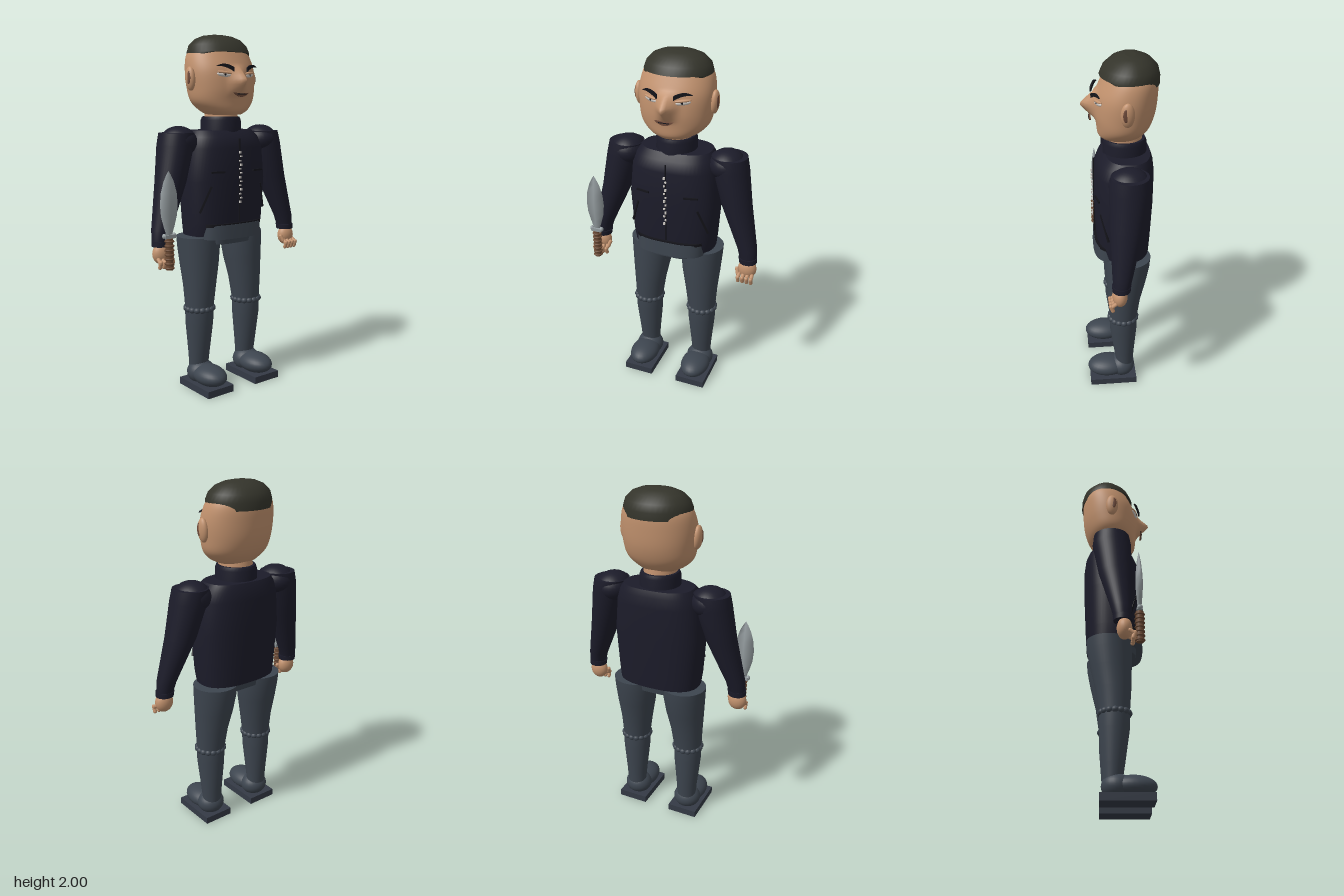
import * as THREE from 'three';

const mat = (name, color) => Object.assign(new THREE.MeshStandardMaterial({ color }), { name });

// Closed loft through sections [y, centreX, radiusX, zFront, zBack], listed bottom to top.
function loft(sections, { pow = 1, seg = 40, warp = null } = {}) {
  const pos = [], idx = [];
  const ring = ([y, cx, rx, zf, zb]) => {
    const start = pos.length / 3;
    for (let j = 0; j < seg; j++) {
      const t = (j / seg) * Math.PI * 2, c = Math.cos(t), s = Math.sin(t);
      const x = cx + rx * Math.sign(c) * Math.abs(c) ** pow;
      let z = (zf + zb) / 2 + ((zf - zb) / 2) * Math.sign(s) * Math.abs(s) ** pow;
      if (warp && s > 0) z += warp(x, y);
      pos.push(x, y, z);
    }
    return start;
  };
  const rings = sections.map(ring);
  for (let i = 0; i + 1 < rings.length; i++) {
    for (let j = 0; j < seg; j++) {
      const k = (j + 1) % seg, a = rings[i], b = rings[i + 1];
      idx.push(a + j, b + j, a + k, a + k, b + j, b + k);
    }
  }
  [sections[0], sections[sections.length - 1]].forEach((sec, top) => {
    const r = ring(sec), c = pos.length / 3;
    pos.push(sec[1], sec[0], (sec[3] + sec[4]) / 2);
    for (let j = 0; j < seg; j++) {
      const k = (j + 1) % seg;
      if (top) idx.push(c, r + k, r + j);
      else idx.push(c, r + j, r + k);
    }
  });
  const g = new THREE.BufferGeometry();
  g.setAttribute('position', new THREE.Float32BufferAttribute(pos, 3));
  g.setIndex(idx);
  g.computeVertexNormals();
  return g;
}

export function createModel() {
  const model = new THREE.Group();
  model.name = 'figure';
  const skin = mat('skin', 0xc2926e), navy = mat('navy cloth', 0x1c1c2a), slate = mat('slate cloth', 0x3d454f);
  const sole = mat('sole grey', 0x343a45), hair = mat('hair', 0x34342b), black = mat('black', 0x14141a);
  const steel = mat('steel', 0x959da0), brown = mat('grip brown', 0x6b4a34), pale = mat('eye white', 0xcfcac4);
  const lip = mat('lip', 0x6e4a3a);

  const add = (name, geo, material, p = [0, 0, 0], r = [0, 0, 0], s = [1, 1, 1]) => {
    const m = new THREE.Mesh(geo, material);
    m.name = name;
    m.position.set(...p);
    m.rotation.set(...r);
    m.scale.set(...s);
    model.add(m);
    return m;
  };
  const unit = new THREE.SphereGeometry(1, 28, 18);
  const ball = (name, material, p, s, r) => add(name, unit, material, p, r, s);
  const box = (name, material, p, s, r) => add(name, new THREE.BoxGeometry(...s), material, p, r);
  const side = (rows, s) => rows.map(([y, cx, ...rest]) => [y, cx * s, ...rest]);

  // Head, with a pointed nose pulled out of the face
  const noseAt = (y) => (y > 1.745 ? Math.max(0, (1.83 - y) / 0.085) : Math.max(0, (y - 1.66) / 0.085));
  const nose = (x, y) => 0.08 * noseAt(y) * Math.max(0, 1 - Math.abs(x) / 0.075) ** 1.4;
  const profile = new THREE.SplineCurve([
    [0.09, 1.56], [0.14, 1.585], [0.187, 1.635], [0.203, 1.71], [0.208, 1.8], [0.194, 1.88], [0.16, 1.94],
  ].map((p) => new THREE.Vector2(...p)));
  const depth = new THREE.SplineCurve([
    [0.095, -0.1], [0.115, -0.13], [0.122, -0.165], [0.13, -0.19], [0.122, -0.2], [0.09, -0.2], [0.06, -0.18],
  ].map((p) => new THREE.Vector2(...p)));
  const headRows = [];
  for (let i = 0; i <= 36; i++) {
    const a = profile.getPoint(i / 36), b = depth.getPoint(i / 36);
    headRows.push([a.y, 0, a.x, b.x, b.y]);
  }
  add('head', loft(headRows, { seg: 80, warp: nose, pow: 0.95 }), skin);
  add('neck', loft([[1.5, 0, 0.095, 0.075, -0.13], [1.6, 0, 0.09, 0.07, -0.12]]), skin);

  // Cropped hair, its hairline rising toward the forehead
  const cap = loft([
    [1.86, 0, 0.187, 0.1, -0.21], [1.9, 0, 0.188, 0.103, -0.21], [1.94, 0, 0.175, 0.085, -0.2],
    [1.975, 0, 0.14, 0.045, -0.165], [1.993, 0, 0.095, 0.005, -0.125], [2, 0, 0.045, -0.03, -0.085],
  ]);
  const cp = cap.attributes.position;
  for (let i = 0; i < cp.count; i++) {
    if (cp.getY(i) < 1.87) cp.setY(i, 1.86 + 0.045 * THREE.MathUtils.clamp((cp.getZ(i) + 0.06) / 0.14, 0, 1));
  }
  cap.computeVertexNormals();
  add('hair', cap, hair);

  // Face details
  const browShape = new THREE.Shape();
  browShape.moveTo(-0.05, -0.014);
  browShape.quadraticCurveTo(0, 0.012, 0.052, 0.002);
  browShape.quadraticCurveTo(0.01, 0.034, -0.048, 0.008);
  const browGeo = new THREE.ExtrudeGeometry(browShape, { depth: 0.009, bevelEnabled: false });
  for (const s of [-1, 1]) {
    const brow = add('eyebrow', browGeo.clone(), black, [0.09 * s, 1.812, 0.125], [0, 0.36 * s, 0.12 * s]);
    if (s < 0) {
      // mirrored by turning the plate round
      brow.rotation.set(0, Math.PI - 0.36, 0.12);
      brow.position.z += 0.008;
    }
    ball('eye', pale, [0.088 * s, 1.776, 0.115], [0.04, 0.012, 0.009], [0, 0.38 * s, 0.1 * s]);
    ball('upperEyelid', skin, [0.088 * s, 1.787, 0.116], [0.044, 0.008, 0.011], [0, 0.38 * s, 0.1 * s]);
    ball('iris', black, [0.086 * s, 1.777, 0.122], [0.009, 0.008, 0.004], [0, 0.38 * s, 0]);
    ball('ear', skin, [0.212 * s, 1.755, -0.025], [0.024, 0.065, 0.036], [0, 0, -0.06 * s]);
    ball('earHollow', lip, [0.231 * s, 1.76, -0.015], [0.005, 0.035, 0.015]);
  }
  const mouth = new THREE.Shape();
  mouth.moveTo(-0.052, 0.01);
  mouth.quadraticCurveTo(-0.02, 0.008, 0, 0.004);
  mouth.quadraticCurveTo(0.02, 0.008, 0.052, 0.01);
  mouth.quadraticCurveTo(0, -0.036, -0.052, 0.01);
  add('mouth', new THREE.ExtrudeGeometry(mouth, { depth: 0.009, bevelEnabled: false, curveSegments: 8 }), lip, [0, 1.67, 0.15]);
  box('mouthLine', black, [0, 1.672, 0.16], [0.06, 0.004, 0.004]);

  // Jacket
  add('jacket', loft([
    [0.89, 0, 0.238, 0.12, -0.165], [0.96, 0, 0.246, 0.133, -0.17], [1.2, 0, 0.262, 0.142, -0.182],
    [1.38, 0, 0.245, 0.138, -0.185], [1.44, 0, 0.225, 0.115, -0.178], [1.475, 0, 0.2, 0.08, -0.165],
  ], { pow: 0.78, seg: 56 }), navy);
  add('collar', loft([
    [1.45, 0, 0.115, 0.09, -0.15], [1.53, 0, 0.112, 0.088, -0.148], [1.55, 0, 0.104, 0.08, -0.14],
  ]), navy);
  box('frontSeam', black, [0, 1.2, 0.141], [0.006, 0.46, 0.008]);
  for (let i = 0; i < 13; i++) {
    box('zipTooth', pale, [i % 2 ? 0.004 : -0.004, 1.08 + i * 0.023, 0.152], [0.01, i % 3 ? 0.008 : 0.014, 0.009]);
  }
  for (const s of [-1, 1]) {
    box('chestPocket', black, [0.14 * s, 1.25, 0.13], [0.08, 0.01, 0.009], [0, 0.22 * s, 0]);
    box('sidePocket', black, [0.2 * s, 1.1, 0.096], [0.012, 0.16, 0.009], [0, 0.6 * s, 0.42 * s]);
  }

  // Belt and pelvis
  add('beltLine', loft([[0.945, 0, 0.21, 0.146, -0.12], [0.962, 0, 0.21, 0.146, -0.12]], { pow: 0.65 }), black);
  add('belt', loft([[0.875, 0, 0.205, 0.152, -0.12], [0.955, 0, 0.205, 0.148, -0.12]], { pow: 0.65 }), slate);
  add('pelvis', loft([[0.84, 0, 0.13, 0.11, -0.13], [0.9, 0, 0.14, 0.12, -0.14]], { pow: 0.5 }), slate);

  const capsule = new THREE.CapsuleGeometry(0.011, 0.03, 4, 10);
  for (const s of [-1, 1]) {
    // Arm
    ball('shoulder', navy, [0.292 * s, 1.415, -0.028], [0.1, 0.086, 0.108]);
    add('sleeve', loft(side([
      [0.885, 0.452, 0.047, 0.07, -0.02], [0.95, 0.441, 0.055, 0.075, -0.035], [1.2, 0.36, 0.085, 0.08, -0.1],
      [1.4, 0.314, 0.1, 0.08, -0.135], [1.465, 0.303, 0.098, 0.07, -0.13],
    ], s)), navy);
    add('cuff', loft(side([[0.865, 0.452, 0.05, 0.076, -0.022], [0.895, 0.449, 0.052, 0.078, -0.025]], s)), navy, [0, 0, 0]);

    // Hand
    ball('palm', skin, [0.452 * s, 0.825, 0.035], [0.053, 0.058, 0.04]);
    for (let i = 0; i < 4; i++) {
      const x = (0.413 + i * 0.025) * s;
      add('finger', capsule, skin, [x, 0.79, 0.074], [-0.9, 0, 0]);
      add('fingertip', capsule, skin, [x, 0.773, 0.082], [0.35, 0, 0]);
    }
    add('thumb', capsule, skin, [0.402 * s, 0.81, 0.06], [-0.4, 0, 0.3 * s]);

    // Leg
    add('thigh', loft(side([
      [0.45, 0.172, 0.08, 0.07, -0.088], [0.6, 0.165, 0.095, 0.08, -0.11], [0.72, 0.158, 0.112, 0.084, -0.14],
      [0.82, 0.155, 0.122, 0.086, -0.16], [0.88, 0.155, 0.126, 0.084, -0.165],
    ], s)), slate);
    add('shin', loft(side([
      [0.1, 0.172, 0.056, 0.03, -0.068], [0.2, 0.172, 0.063, 0.045, -0.075],
      [0.38, 0.172, 0.08, 0.07, -0.09], [0.47, 0.172, 0.083, 0.072, -0.09],
    ], s)), slate);
    for (let i = 0; i < 16; i++) {
      const t = (i / 16) * Math.PI * 2;
      ball('kneeBand', slate, [0.172 * s + 0.074 * Math.cos(t), 0.465, -0.008 + 0.073 * Math.sin(t)], [0.02, 0.018, 0.02]);
    }

    // Shoe
    ball('shoeToe', slate, [0.17 * s, 0.085, 0.085], [0.086, 0.058, 0.122]);
    ball('shoeHeel', slate, [0.17 * s, 0.085, 0.0], [0.082, 0.068, 0.078]);
    box('sole', sole, [0.17 * s, 0.02, 0.055], [0.178, 0.04, 0.28]);
  }

  // Dagger in the right hand
  const dx = -0.452, dz = 0.113;
  add('grip', new THREE.CylinderGeometry(0.021, 0.02, 0.17, 16), brown, [dx, 0.835, dz]);
  for (let i = 0; i < 7; i++) {
    add('gripRing', new THREE.TorusGeometry(0.021, 0.006, 8, 18), brown, [dx, 0.76 + i * 0.024, dz], [Math.PI / 2, 0, 0]);
  }
  box('guard', steel, [dx, 0.93, dz], [0.062, 0.02, 0.03]);
  for (const s of [-1, 1]) ball('guardEnd', steel, [dx + 0.03 * s, 0.933, dz], [0.012, 0.014, 0.014]);
  const blade = loft([
    [0.935, 0, 0.018, 0.009, -0.009], [0.99, 0, 0.036, 0.014, -0.014], [1.04, 0, 0.05, 0.018, -0.018],
    [1.1, 0, 0.055, 0.02, -0.02], [1.16, 0, 0.05, 0.017, -0.017], [1.22, 0, 0.032, 0.011, -0.011],
    [1.255, 0, 0.014, 0.005, -0.005], [1.275, 0, 0.001, 0.001, -0.001],
  ], { seg: 4 });
  add('blade', blade, steel, [dx, 0, dz]);
  return model;
}
